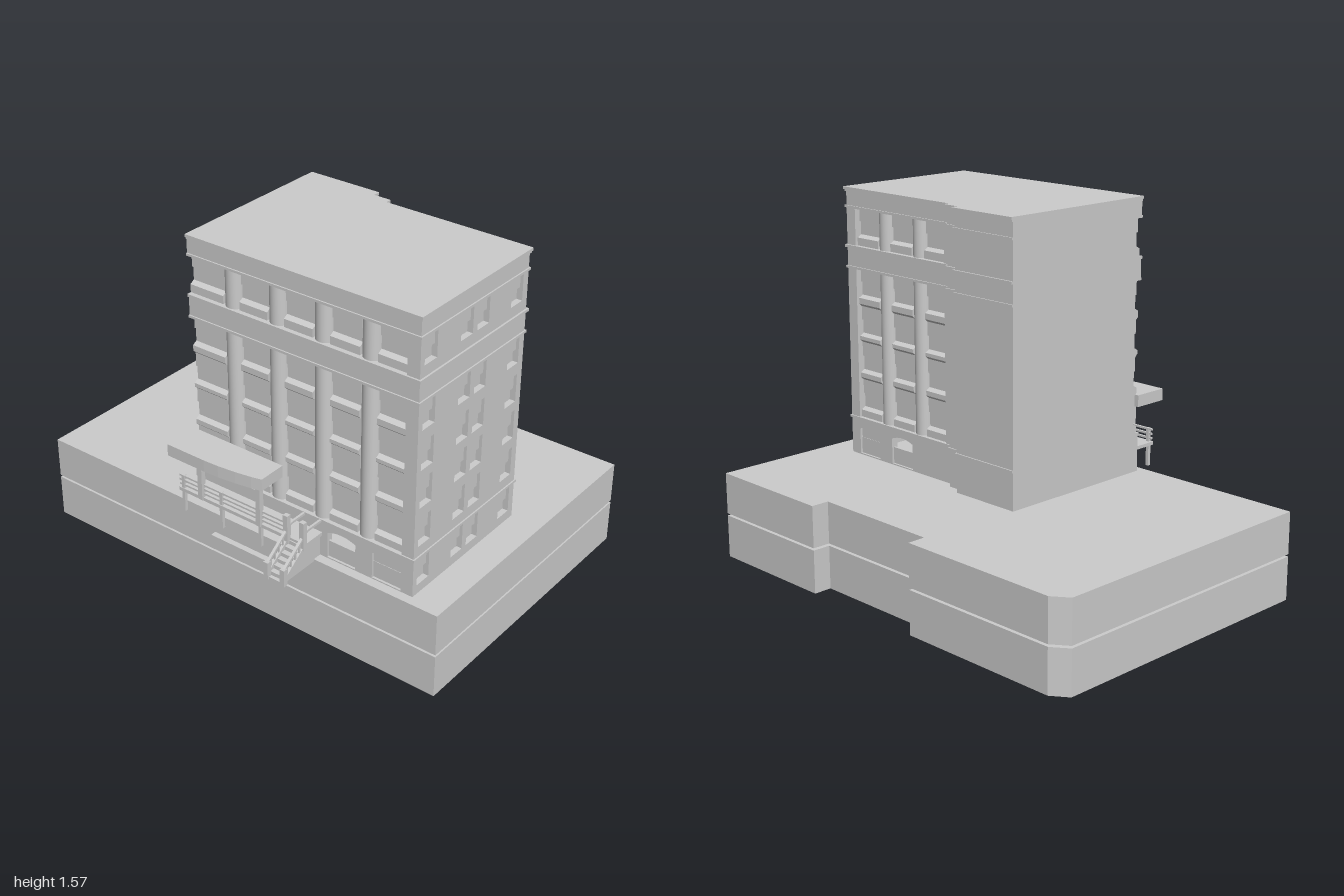
import * as THREE from 'three';

const material = new THREE.MeshStandardMaterial({ color: 0xcccccc, flatShading: true });
const smooth = new THREE.MeshStandardMaterial({ color: 0xcccccc });

export function createModel() {
  const model = new THREE.Group();
  const add = (name, geometry, mat = material) => {
    const mesh = new THREE.Mesh(geometry, mat);
    mesh.name = name;
    model.add(mesh);
    return mesh;
  };
  // Box given by its two corners
  const box = (name, x0, x1, y0, y1, z0, z1) =>
    add(name, new THREE.BoxGeometry(x1 - x0, y1 - y0, z1 - z0)
      .translate((x0 + x1) / 2, (y0 + y1) / 2, (z0 + z1) / 2));
  const polygon = (points) => new THREE.Shape(points.map(([a, b]) => new THREE.Vector2(a, b)));
  const extrude = (shape, depth) =>
    new THREE.ExtrudeGeometry(shape, { depth, bevelEnabled: false, curveSegments: 8 });
  // Plan outline of [x, z] points raised from y0 to y1
  const prism = (name, plan, y0, y1) =>
    add(name, extrude(polygon(plan.map(([x, z]) => [x, -z])), y1 - y0)
      .rotateX(-Math.PI / 2).translate(0, y0, 0));
  // Side wall drawn in (z, y), filling x0 to x1
  const sideWall = (name, shape, x0, x1) =>
    add(name, extrude(shape, x1 - x0).rotateY(-Math.PI / 2).translate(x1, 0, 0));
  const rect = (a0, a1, b0, b1) => [[a0, b0], [a1, b0], [a1, b1], [a0, b1]];

  // Podium: two slabs held apart by small spacers
  const podium = [[-0.56, 1], [0.76, 1], [0.76, 0.4], [0.68, 0.4], [0.68, -0.19],
    [0.76, -0.19], [0.76, -0.93], [0.71, -1], [-0.56, -1]];
  prism('lowerPodium', podium, 0, 0.188);
  prism('upperPodium', podium, 0.198, 0.374);
  prism('podiumRoof', podium, 0.374, 0.38);
  for (const x of [-0.54, -0.4, -0.18, 0.1, 0.42, 0.65])
    for (let z = -0.96; z < 1; z += 0.24) box('spacer', x - 0.01, x + 0.01, 0.188, 0.198, z - 0.01, z + 0.01);

  // Tower plan, optionally grown outwards for mouldings
  const L = -0.52, R = 0.17, F = 0.86, B = -0.22, wallZ = 0.835;
  const step = (o) => [[R + o, 0.19 + o], [0.197 + o, 0.19 + o], [0.197 + o, 0.11 + o],
    [0.23 + o, 0.11 + o], [0.23 + o, B]];
  const plan = (o, front = F) => [[L - o, B], [L - o, front + o], [R + o, front + o], ...step(o)];
  // Plan with both long sides set back behind the pilasters
  const depth = 0.045;
  const recessed = [[L + depth, B], [L + depth, 0.805], [L, 0.805], [L, wallZ], [R, wallZ], [R, 0.805],
    [R - depth, 0.805], [R - depth, 0.24], [R, 0.24], ...step(0)];

  prism('mainStoreys', recessed, 0.545, 1.22);
  prism('middleBand', plan(0, wallZ), 1.22, 1.312);
  prism('topStorey', recessed, 1.312, 1.485);
  prism('parapet', plan(0, wallZ), 1.485, 1.565);
  for (const [y0, y1, o] of [[0.542, 0.552, 0.006], [1.217, 1.227, 0.006], [1.307, 1.319, 0.008],
    [1.48, 1.49, 0.006], [1.55, 1.558, 0.005], [1.558, 1.57, 0.009]])
    prism('moulding', plan(o), y0, y1);

  // Front wall with sash windows
  const rows = [[0.42, 0.542], [0.595, 0.72], [0.765, 0.89], [0.93, 1.05], [1.1, 1.217], [1.365, 1.48]];
  const columns = [-0.495, -0.27, -0.165, 0.06];
  const front = polygon(rect(L, R, 0.38, 1.56));
  for (const [y0, y1] of rows) {
    for (const x of columns) {
      front.holes.push(polygon(rect(x, x + 0.077, y0, y1)));
      const mid = y0 + (y1 - y0) * 0.45;
      box('upperSash', x, x + 0.077, mid, y1, wallZ - 0.005, wallZ + 0.012);
    }
  }
  add('frontWall', extrude(front, F - wallZ).translate(0, 0, wallZ));

  // Stepped window bays: sashes, with sloping spandrels between the floors
  const bayProfile = (face, side, floors, y0, y1) => {
    const pts = [[depth + 0.005, y0], [0.012, y0]];
    for (const [a, b] of floors) {
      const mid = a + (b - a) * 0.5;
      pts.push([0.012, a - 0.012], [0.032, a], [0.032, mid], [0.025, mid], [0.025, b],
        [0.012, Math.min(b + 0.012, y1)]);
    }
    pts.push([0.012, y1], [depth + 0.005, y1]);
    return polygon(pts.map(([d, y]) => [face - side * d, y]));
  };
  const addBays = (face, side, count) => {
    for (let i = 0; i < count; i++) {
      const z1 = 0.805 - i * 0.215, z0 = i === 4 ? B : z1 - 0.135;
      const stacks = [[rows.slice(1, 5), 0.55, 1.22], [rows.slice(5), 1.315, 1.483]];
      for (const [floors, y0, y1] of stacks) {
        add('windowBay', extrude(bayProfile(face, side, floors, y0, y1), z1 - z0).translate(0, 0, z0));
        if (i === count - 1) continue;
        // Rounded pilaster beside the bay
        add('pilaster', new THREE.CylinderGeometry(0.04, 0.04, y1 - y0, 24, 1, true)
          .translate(face - side * 0.04, (y0 + y1) / 2, z0 - 0.04), smooth);
      }
    }
  };
  addBays(R, 1, 3);
  addBays(L, -1, 5);

  // Ground floor: hollow front room with arched openings, solid rear
  prism('groundRear', [[L, B], [L, 0.19], ...step(0)], 0.38, 0.545);
  box('frontRoomBack', L, R, 0.38, 0.545, wallZ - 0.015, wallZ);
  for (const [x0, x1] of [[R - 0.03, R], [L, L + 0.03]]) {
    const wall = polygon(rect(0.19, wallZ, 0.38, 0.545));
    for (const z of [0.67, 0.455]) {
      const arch = new THREE.Path();
      arch.moveTo(z, 0.385);
      arch.lineTo(z + 0.135, 0.385);
      arch.lineTo(z + 0.135, 0.498);
      arch.quadraticCurveTo(z + 0.0675, 0.526, z, 0.498);
      arch.closePath();
      wall.holes.push(arch);
      box('openingPanel', x0 + 0.01, x1 - 0.01, 0.38, 0.457, z, z + 0.135);
    }
    sideWall('groundSideWall', wall, x0, x1);
    box('archInfill', x0 + 0.012, x1 - 0.012, 0.457, 0.53, 0.665, 0.81);
  }

  // Entrance canopy with a bowed outer edge
  prism('canopy', [[L, B], [-0.68, B], [-0.68, -0.03], [-0.677, 0.04], [-0.668, 0.12],
    [-0.656, 0.19], [-0.645, 0.235], [L, 0.235]], 0.665, 0.717);
  // Landing, railing and canopy posts
  box('landing', -0.625, L, 0.475, 0.49, B, 0.43);
  for (const y of [0.505, 0.525, 0.545]) box('landingRail', -0.62, -0.61, y - 0.004, y + 0.004, B, 0.345);
  for (const z of [-0.2, 0, 0.2, 0.34]) box('railPost', -0.622, -0.608, 0.38, 0.55, z - 0.007, z + 0.007);
  for (const z of [-0.1, 0.2]) box('canopyPost', -0.632, -0.61, 0.48, 0.665, z - 0.011, z + 0.011);
  box('kerb', -0.685, -0.66, 0.37, 0.382, 0, 0.345);
  for (const z of [0.345, 0.425]) box('landingEndRail', -0.62, L, 0.54, 0.55, z - 0.005, z + 0.005);

  // Stairs with sloping handrails
  const stairs = [[L, 0.37], [-0.755, 0.37], [-0.755, 0.38]];
  for (let i = 0; i < 6; i++) stairs.push([-0.74 + i * 0.022, 0.38 + i * 0.0165], [-0.74 + i * 0.022, 0.3965 + i * 0.0165]);
  stairs.push([L, 0.479]);
  add('stairs', extrude(polygon(stairs), 0.07).translate(0, 0, 0.35));
  for (const z of [0.345, 0.425]) {
    const rail = polygon([[-0.755, 0.43], [-0.755, 0.44], [-0.61, 0.55], [-0.61, 0.54]]);
    add('handrail', extrude(rail, 0.012).translate(0, 0, z - 0.006));
    const stringer = polygon([[-0.755, 0.375], [-0.755, 0.395], [-0.62, 0.495], [-0.62, 0.475]]);
    add('stringer', extrude(stringer, 0.012).translate(0, 0, z - 0.006));
    box('newelPost', -0.762, -0.742, 0.37, 0.445, z - 0.011, z + 0.011);
    box('newelPost', -0.642, -0.622, 0.47, 0.595, z - 0.011, z + 0.011);
    for (let i = 1; i < 5; i++) {
      const x = -0.755 + i * 0.025, y = 0.38 + i * 0.0185;
      box('baluster', x - 0.003, x + 0.003, y, y + 0.056, z - 0.003, z + 0.003);
    }
  }
  return model;
}
